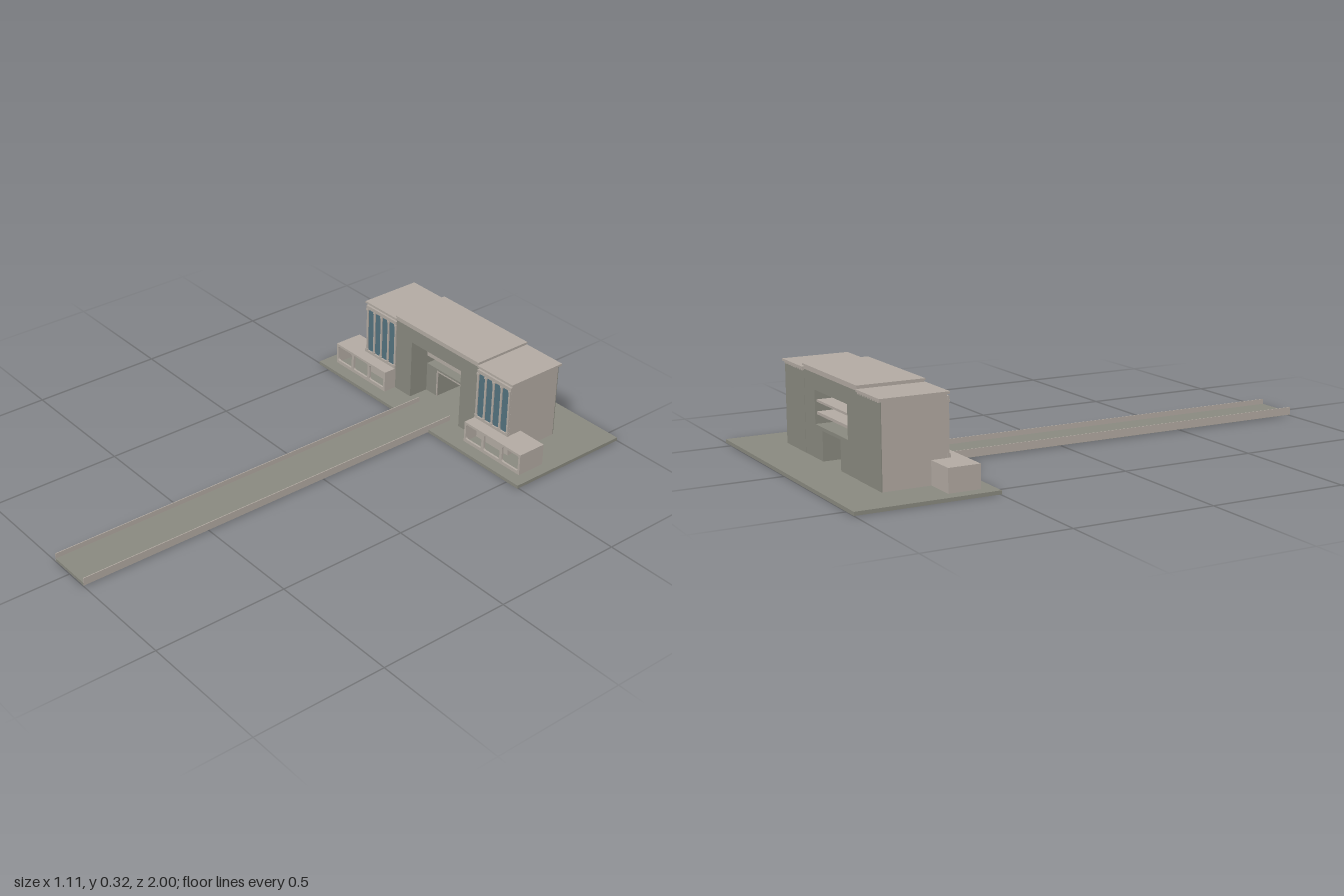
import * as THREE from 'three';

const mat = (name, color) => Object.assign(new THREE.MeshStandardMaterial({ color }), { name });

export function createModel() {
  const stone = mat('pale stone', 0xb3aba3);
  const concrete = mat('grey concrete', 0x8a8a80);
  const glass = mat('blue glass', 0x53727f);
  const model = new THREE.Group();
  model.name = 'gatehouse';

  // box given by its limits on each axis
  const box = (parent, name, m, x0, x1, y0, y1, z0, z1) => {
    const mesh = new THREE.Mesh(new THREE.BoxGeometry(x1 - x0, y1 - y0, z1 - z0), m);
    mesh.position.set((x0 + x1) / 2, (y0 + y1) / 2, (z0 + z1) / 2);
    mesh.name = name;
    parent.add(mesh);
    return mesh;
  };
  const rect = (target, x0, x1, y0, y1, r = 0) => {
    target.moveTo(x0 + r, y0);
    target.lineTo(x1 - r, y0);
    if (r) target.quadraticCurveTo(x1, y0, x1, y0 + r);
    target.lineTo(x1, y1 - r);
    if (r) target.quadraticCurveTo(x1, y1, x1 - r, y1);
    target.lineTo(x0 + r, y1);
    if (r) target.quadraticCurveTo(x0, y1, x0, y1 - r);
    target.lineTo(x0, y0 + r);
    if (r) target.quadraticCurveTo(x0, y0, x0 + r, y0);
    return target;
  };
  const plate = (parent, name, m, shape, z0, z1) => {
    const mesh = new THREE.Mesh(
      new THREE.ExtrudeGeometry(shape, { depth: z1 - z0, bevelEnabled: false, curveSegments: 4 }), m);
    mesh.position.z = z0;
    mesh.name = name;
    parent.add(mesh);
  };

  // ground slab and causeway
  const G = 0.013;
  box(model, 'groundSlab', concrete, -0.555, 0.555, 0, G, -1, -0.495);
  box(model, 'causewayDeck', concrete, -0.085, 0.085, 0.003, G + 0.001, -0.6, 1);
  for (const s of [-1, 1])
    box(model, 'causewayParapet', stone, s * 0.0855 - 0.0015, s * 0.0855 + 0.0015, 0.004, 0.033, -0.6, 1);

  // central block: outer arch, then a rear block holding the doorway
  const gate = new THREE.Group();
  gate.name = 'centralGate';
  model.add(gate);
  const arch = (half, top, innerHalf, innerTop) => {
    const s = new THREE.Shape();
    [[-half, G], [-innerHalf, G], [-innerHalf, innerTop], [innerHalf, innerTop],
      [innerHalf, G], [half, G], [half, top], [-half, top]]
      .forEach(([x, y], i) => (i ? s.lineTo(x, y) : s.moveTo(x, y)));
    return s;
  };
  plate(gate, 'gateWalls', concrete, arch(0.222, 0.306, 0.135, 0.248), -0.832, -0.598);
  plate(gate, 'doorBlock', concrete, arch(0.135, 0.13, 0.075, 0.118), -0.832, -0.68);
  plate(gate, 'doorFrame', stone, arch(0.079, 0.122, 0.074, 0.117), -0.683, -0.679);
  box(gate, 'gateFrieze', stone, -0.222, 0.222, 0.306, 0.319, -0.834, -0.597);
  box(gate, 'gateRoof', stone, -0.225, 0.225, 0.319, 0.325, -0.838, -0.594);

  // pierced screen over the doorway
  const screen = rect(new THREE.Shape(), -0.135, 0.135, 0.163, 0.248);
  const cells = 12, pitch = 0.27 / cells;
  for (let i = 0; i < cells; i++) {
    const x = -0.135 + (i + 0.5) * pitch;
    for (const [y0, y1] of [[0.179, 0.205], [0.219, 0.243]])
      screen.holes.push(rect(new THREE.Path(), x - 0.0065, x + 0.0065, y0, y1));
  }
  plate(gate, 'piercedScreen', stone, screen, -0.69, -0.68);
  for (const [y0, y1] of [[0.163, 0.173], [0.206, 0.214]])
    box(gate, 'screenShelf', stone, -0.135, 0.135, y0, y1, -0.825, -0.69);

  // two mirrored sides, each a tall wing and a low annex
  for (const s of [-1, 1]) {
    const side = new THREE.Group();
    side.name = s > 0 ? 'leftSide' : 'rightSide';
    model.add(side);
    const b = (name, m, x0, x1, ...rest) =>
      box(side, name, m, Math.min(s * x0, s * x1), Math.max(s * x0, s * x1), ...rest);

    b('wingBody', stone, 0.222, 0.392, G, 0.306, -0.83, -0.602);
    b('wingBackFace', concrete, 0.222, 0.392, G, 0.3, -0.833, -0.83);
    b('wingRoof', stone, 0.222, 0.4, 0.305, 0.313, -0.84, -0.594);
    b('windowHead', stone, 0.222, 0.395, 0.284, 0.298, -0.602, -0.594);
    b('windowSill', stone, 0.222, 0.395, 0.097, 0.107, -0.602, -0.592);

    // glazing strips between slim columns with caps and bases
    b('wingGlass', glass, 0.226, 0.388, 0.107, 0.284, -0.602, -0.598);
    for (let i = 0; i < 5; i++) {
      const x = 0.2265 + i * 0.0403;
      b('windowColumn', stone, x - 0.004, x + 0.004, 0.107, 0.284, -0.602, -0.594);
      b('columnCap', stone, x - 0.006, x + 0.006, 0.277, 0.284, -0.602, -0.592);
      b('columnBase', stone, x - 0.006, x + 0.006, 0.107, 0.112, -0.602, -0.592);
    }
    // small blocks under the rear cornice
    for (let i = 0; i < 9; i++)
      b('corniceBlock', stone, 0.228 + i * 0.019, 0.236 + i * 0.019, 0.298, 0.305, -0.837, -0.83);

    // hollow annex with three rounded openings
    b('annexRoof', stone, 0.222, 0.51, 0.088, 0.096, -0.66, -0.545);
    b('annexOuterWall', stone, 0.504, 0.51, G, 0.088, -0.66, -0.551);
    b('annexInnerWall', stone, 0.222, 0.228, G, 0.088, -0.602, -0.551);
    b('annexBackWall', stone, 0.392, 0.504, G, 0.088, -0.66, -0.654);
    const [x0, x1] = s > 0 ? [0.222, 0.51] : [-0.51, -0.222];
    const front = rect(new THREE.Shape(), x0, x1, G, 0.088);
    for (let i = 0; i < 3; i++) {
      const c = s * (0.272 + i * 0.094);
      front.holes.push(rect(new THREE.Path(), c - 0.041, c + 0.041, 0.026, 0.087, 0.008));
    }
    plate(side, 'annexFront', stone, front, -0.553, -0.545);
  }
  return model;
}
